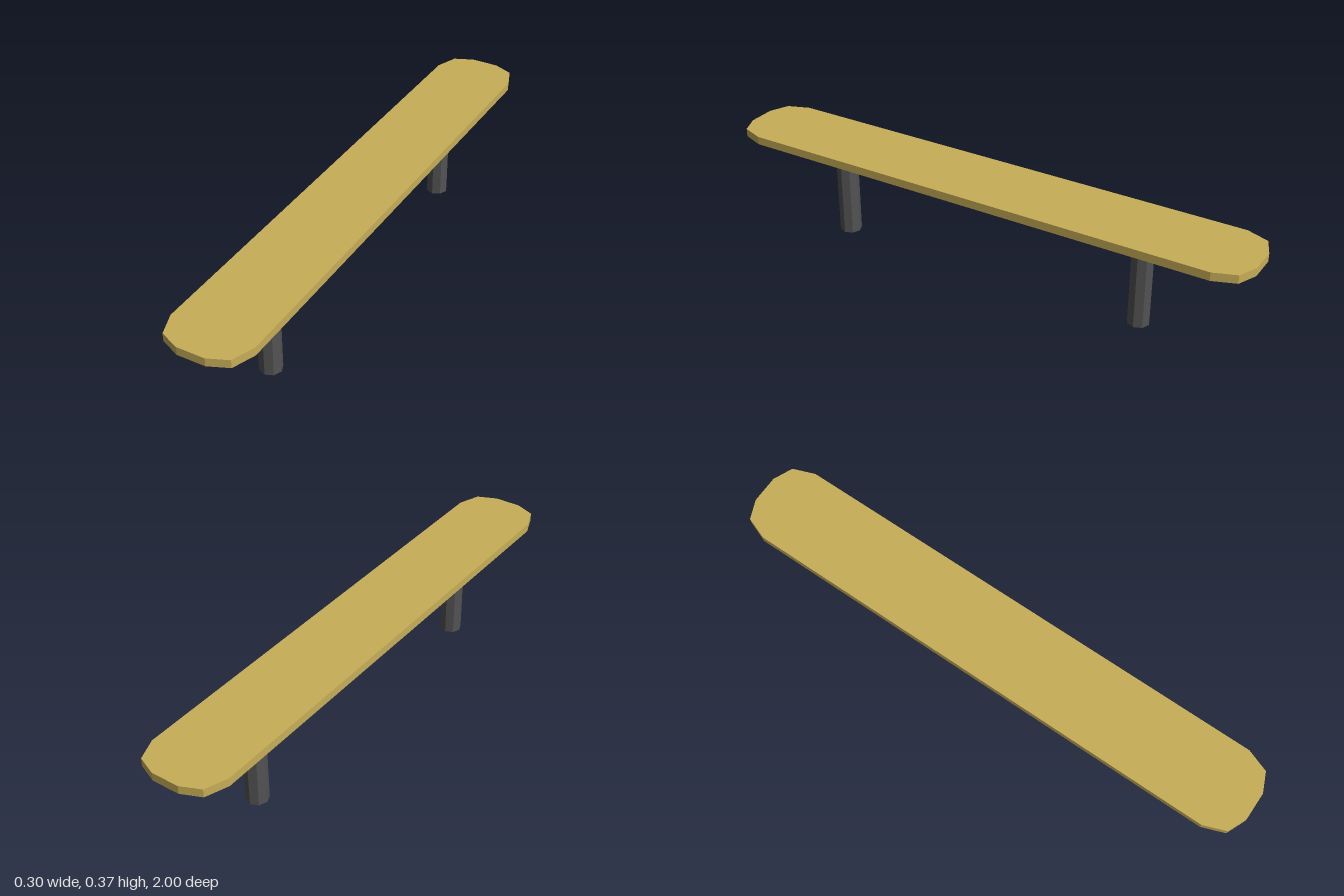
import * as THREE from 'three';

export function createModel() {
  const group = new THREE.Group();
  const wood = new THREE.MeshStandardMaterial({ name: 'ochre wood', color: 0xc8ae58, flatShading: true });
  const metal = new THREE.MeshStandardMaterial({ name: 'dark metal', color: 0x535353, flatShading: true });

  const legHeight = 0.338, thickness = 0.03;

  // Plank: one corner's outline mirrored into all four
  const corner = [[0.15, 0.89], [0.12, 0.97], [0.05, 1]];
  const back = [...corner].reverse();
  const outline = [
    ...corner,
    ...back.map(([x, z]) => [-x, z]),
    ...corner.map(([x, z]) => [-x, -z]),
    ...back.map(([x, z]) => [x, -z]),
  ];
  const shape = new THREE.Shape(outline.map(([x, z]) => new THREE.Vector2(x, z)));
  const plankGeometry = new THREE.ExtrudeGeometry(shape, { depth: thickness, bevelEnabled: false });
  plankGeometry.rotateX(-Math.PI / 2);
  const plank = new THREE.Mesh(plankGeometry, wood);
  plank.name = 'plank';
  plank.position.y = legHeight;
  group.add(plank);

  // Two eight-sided posts
  const legGeometry = new THREE.CylinderGeometry(0.04, 0.04, legHeight, 8);
  for (const [name, z] of [['frontLeg', 0.6], ['backLeg', -0.6]]) {
    const leg = new THREE.Mesh(legGeometry, metal);
    leg.name = name;
    leg.position.set(0, legHeight / 2, z);
    group.add(leg);
  }
  return group;
}
